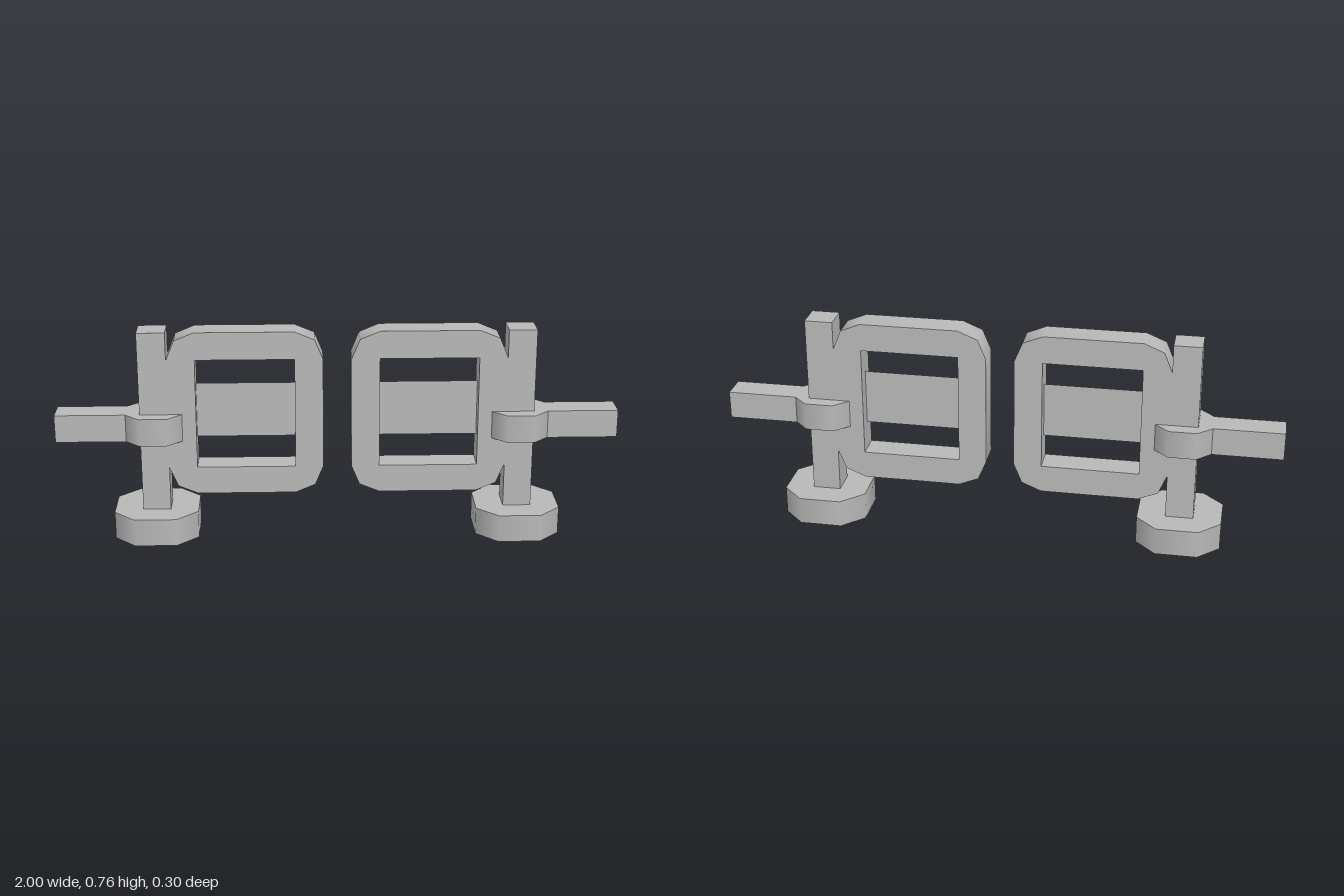
import * as THREE from 'three';
import { toCreasedNormals } from 'three/addons/utils/BufferGeometryUtils.js';

const grey = new THREE.MeshStandardMaterial({ color: 0xb8b8b8 });
grey.name = 'plain grey';
const greySheet = grey.clone();
greySheet.side = THREE.DoubleSide;

// Square prism with chamfered corners and smoothly shaded sides
function chamferedDisc(half, height) {
  const g = new THREE.CylinderGeometry(1, 1, height, 8);
  g.rotateY(Math.PI / 8);
  const p = g.attributes.position;
  const snap = v => (Math.abs(v) < 0.01 ? 0 : Math.sign(v) * (Math.abs(v) > 0.6 ? half : half / 2));
  for (let i = 0; i < p.count; i++) p.setXYZ(i, snap(p.getX(i)), p.getY(i), snap(p.getZ(i)));
  return g;
}

// Window frame: rounded outline around a square-cornered opening
function frameGeometry() {
  const w = 0.175, h = 0.2, r = 0.1;
  const outline = [];
  [[1, 1], [-1, 1], [-1, -1], [1, -1]].forEach(([sx, sy], corner) => {
    for (let i = 0; i <= 2; i++) {
      const a = (corner + i / 2) * Math.PI / 2;
      outline.push(new THREE.Vector2(sx * w + r * Math.cos(a), sy * h + r * Math.sin(a)));
    }
  });
  const shape = new THREE.Shape(outline);
  shape.holes.push(new THREE.Path([[-w, -h], [-w, h], [w, h], [w, -h]].map(c => new THREE.Vector2(...c))));
  const g = new THREE.ExtrudeGeometry(shape, { depth: 0.1, bevelEnabled: false });
  g.translate(0, 0, -0.05);
  return toCreasedNormals(g, 1);
}

export function createModel() {
  const model = new THREE.Group();
  model.name = 'doubleFrameStand';
  const parts = [
    ['foot', chamferedDisc(0.15, 0.1), 0.65, 0.05, grey],
    ['post', new THREE.BoxGeometry(0.1, 0.66, 0.1), 0.65, 0.43, grey],
    ['collar', chamferedDisc(0.1, 0.1), 0.65, 0.41, grey],
    ['arm', new THREE.BoxGeometry(0.27, 0.1, 0.1), 0.865, 0.41, grey],
    ['frame', frameGeometry(), 0.325, 0.46, grey],
    ['panel', new THREE.PlaneGeometry(0.35, 0.2), 0.325, 0.46, greySheet],
  ];
  // Two mirrored halves
  for (const [side, s] of [['left', 1], ['right', -1]]) {
    const half = new THREE.Group();
    half.name = side + 'Half';
    for (const [name, geometry, x, y, material] of parts) {
      const mesh = new THREE.Mesh(geometry, material);
      mesh.name = name;
      mesh.position.set(s * x, y, 0);
      half.add(mesh);
    }
    model.add(half);
  }
  return model;
}
